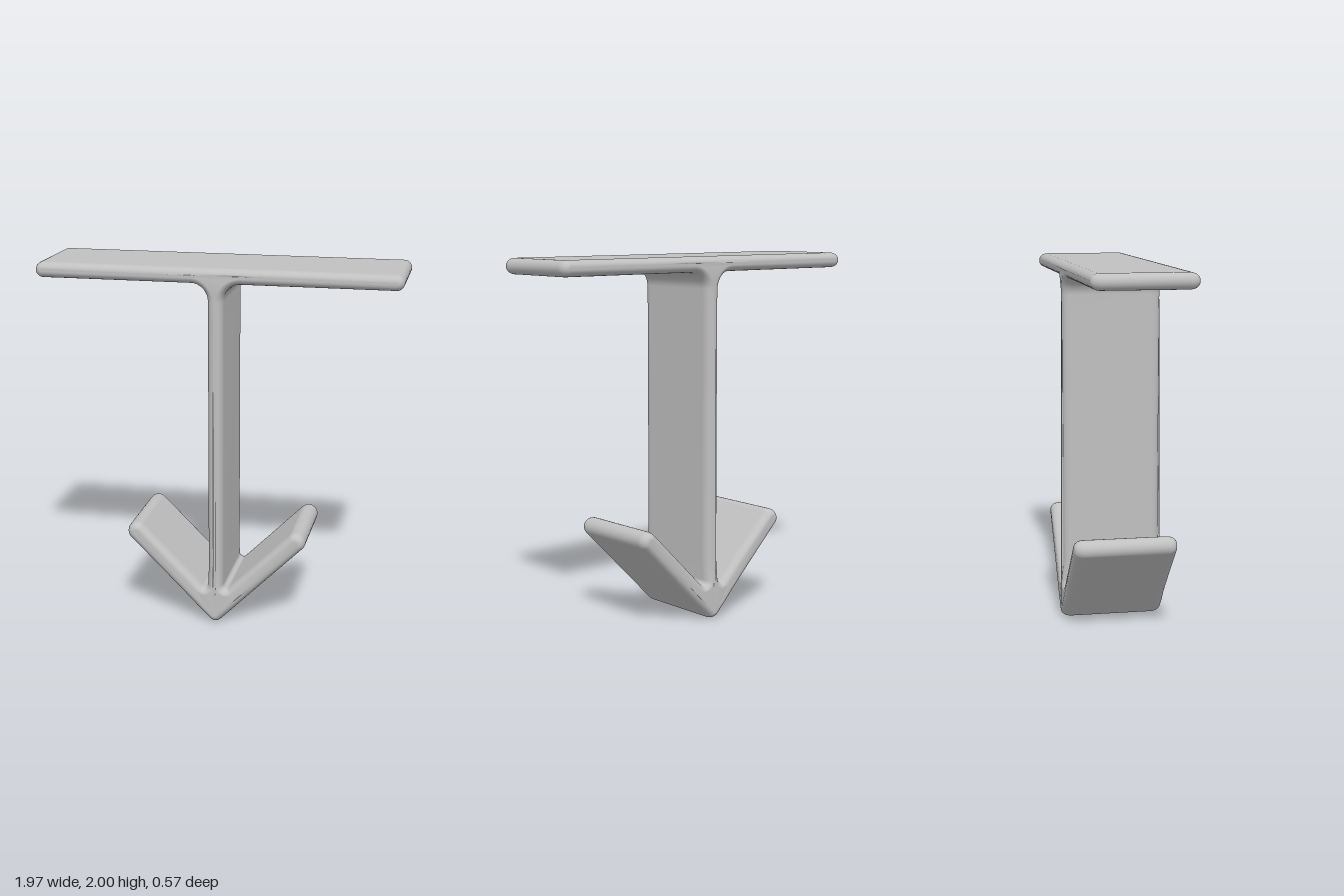
import * as THREE from 'three';
import { mergeVertices } from 'three/addons/utils/BufferGeometryUtils.js';

const EDGE = 0.035;   // how far the rounded edge grows out of the core outline
const ROUND = 0.05;   // depth of the rounding at front and back
const HALF = 0.27;    // half depth

function arc(cx, cy, r, a0, a1, n) {
  return Array.from({ length: n + 1 }, (_, i) => {
    const a = a0 + (a1 - a0) * i / n;
    return new THREE.Vector2(cx + r * Math.cos(a), cy + r * Math.sin(a));
  });
}

// Core outline of the +x half, from the bottom point round to the top centre
function halfOutline() {
  const P = Math.PI, v = (x, y) => new THREE.Vector2(x, y);
  return [
    ...arc(0, 0.0466, 0.01, -P / 2, -P / 4, 4),            // bottom point
    v(0.06, 0.0925), v(0.12, 0.1525), v(0.2, 0.2325),
    ...arc(0.448, 0.5045, 0.017, -P / 4, 3 * P / 4, 12),   // arm tip
    v(0.2, 0.2805), v(0.14, 0.2205),
    ...arc(0.062, 0.2205, 0.055, 7 * P / 4, P, 10),        // arm to post fillet
    v(0.007, 0.34), v(0.007, 1.72),
    ...arc(0.132, 1.826, 0.125, P, P / 2, 12),             // post to top fillet
    v(0.3, 1.951),
    ...arc(0.945, 1.958, 0.007, -P / 2, P / 2, 12),        // end of the top
    v(0.3, 1.965), v(0.12, 1.965), v(0, 1.965),
  ];
}

// Slight widening of the arms and of both joints
function swell(x, y) {
  const arms = y < 0.6 && (Math.abs(x) > 0.06 || y < 0.3) ? 0.035 : 0;
  const hub = 0.035 * Math.exp(-(x * x + (y - 0.1) ** 2) / 0.01);
  const topJoint = 0.02 * Math.exp(-(x * x + (y - 1.91) ** 2) / 0.006);
  return 1 + arms + hub + topJoint;
}

export function createModel() {
  const group = new THREE.Group();
  group.name = 'anchorShapedStand';
  const grey = new THREE.MeshStandardMaterial({ color: 0xc0c0c0 });
  grey.name = 'grey';

  const half = halfOutline();
  const mirrored = half.slice(1, -1).reverse().map(p => new THREE.Vector2(-p.x, p.y));
  let geo = new THREE.ExtrudeGeometry(new THREE.Shape([...half, ...mirrored]), {
    depth: 2 * (HALF - ROUND), steps: 1,
    bevelEnabled: true, bevelSize: EDGE, bevelThickness: ROUND, bevelSegments: 8,
  });
  geo.translate(0, 0, ROUND - HALF);

  const pos = geo.attributes.position;
  for (let i = 0; i < pos.count; i++) {
    pos.setZ(i, pos.getZ(i) * swell(pos.getX(i), pos.getY(i)));
  }

  // Weld for smooth shading over the whole blended body
  geo.deleteAttribute('normal');
  geo.deleteAttribute('uv');
  geo.clearGroups();
  geo = mergeVertices(geo, 1e-5);
  geo.computeVertexNormals();

  const body = new THREE.Mesh(geo, grey);
  body.name = 'blendedBody';
  group.add(body);
  return group;
}
